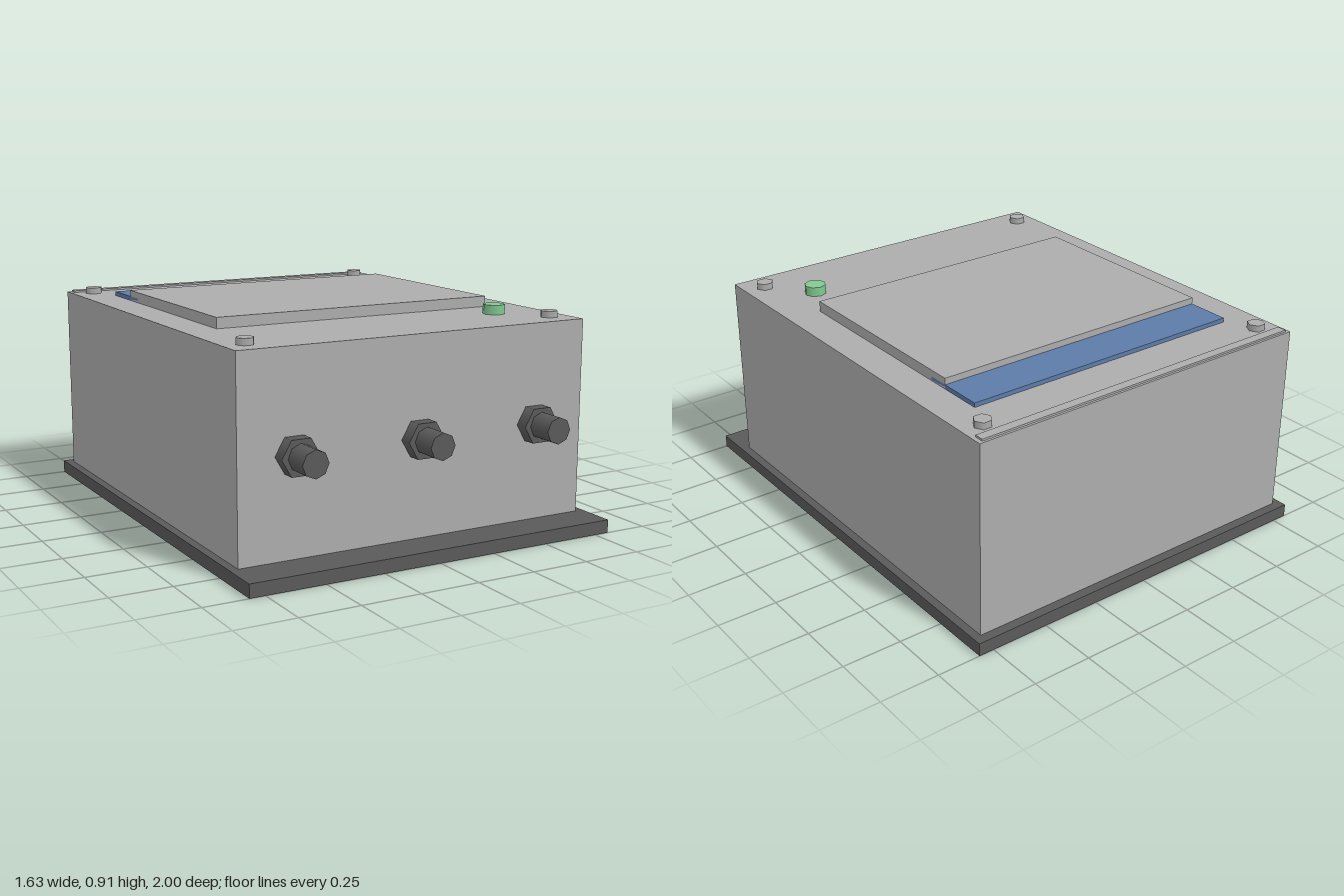
import * as THREE from 'three';

const material = (name, color) => {
  const m = new THREE.MeshStandardMaterial({ color });
  m.name = name;
  return m;
};

export function createModel() {
  const model = new THREE.Group();
  model.name = 'controlBox';
  const grey = material('light grey', 0xadadad);
  const dark = material('dark grey', 0x5a5a5a);
  const blue = material('blue', 0x5d7ca9);
  const green = material('green', 0x82c992);

  // Box given by its extents on each axis
  function box(name, mat, [x0, x1], [y0, y1], [z0, z1]) {
    const mesh = new THREE.Mesh(new THREE.BoxGeometry(x1 - x0, y1 - y0, z1 - z0), mat);
    mesh.position.set((x0 + x1) / 2, (y0 + y1) / 2, (z0 + z1) / 2);
    mesh.name = name;
    model.add(mesh);
  }

  // Upright cylinder standing at (x, y, z), or lying along +z
  function cylinder(name, mat, radius, length, sides, x, y, z, alongZ = false) {
    const geo = new THREE.CylinderGeometry(radius, radius, length, sides);
    if (sides === 6) geo.rotateY(Math.PI / 6); // hexagon points face left and right
    geo.translate(0, length / 2, 0);
    if (alongZ) geo.rotateX(Math.PI / 2);
    const mesh = new THREE.Mesh(geo, mat);
    mesh.position.set(x, y, z);
    mesh.name = name;
    model.add(mesh);
  }

  // Mounting plate and housing
  box('basePlate', dark, [-0.815, 0.815], [0, 0.055], [-1, 1]);
  box('housing', grey, [-0.78, 0.78], [0.055, 0.865], [-0.96, 0.835]);

  // Lid details
  box('lidPanel', grey, [-0.633, 0.633], [0.865, 0.91], [-0.545, 0.36]);
  box('blueStrip', blue, [-0.633, 0.633], [0.865, 0.883], [-0.73, -0.455]);
  box('hingeStrip', grey, [-0.762, 0.762], [0.865, 0.873], [-0.95, -0.91]);
  cylinder('indicatorLamp', green, 0.046, 0.04, 8, 0.545, 0.865, 0.545);

  // Corner screws
  for (const x of [-0.69, 0.69])
    for (const z of [-0.855, 0.727])
      cylinder('lidScrew', grey, 0.037, 0.027, 6, x, 0.865, z);

  // Cable glands along the front
  for (const x of [-0.545, 0, 0.545]) {
    cylinder('glandNut', dark, 0.081, 0.055, 6, x, 0.458, 0.835, true);
    cylinder('glandTube', dark, 0.055, 0.165, 8, x, 0.458, 0.835, true);
  }

  return model;
}
